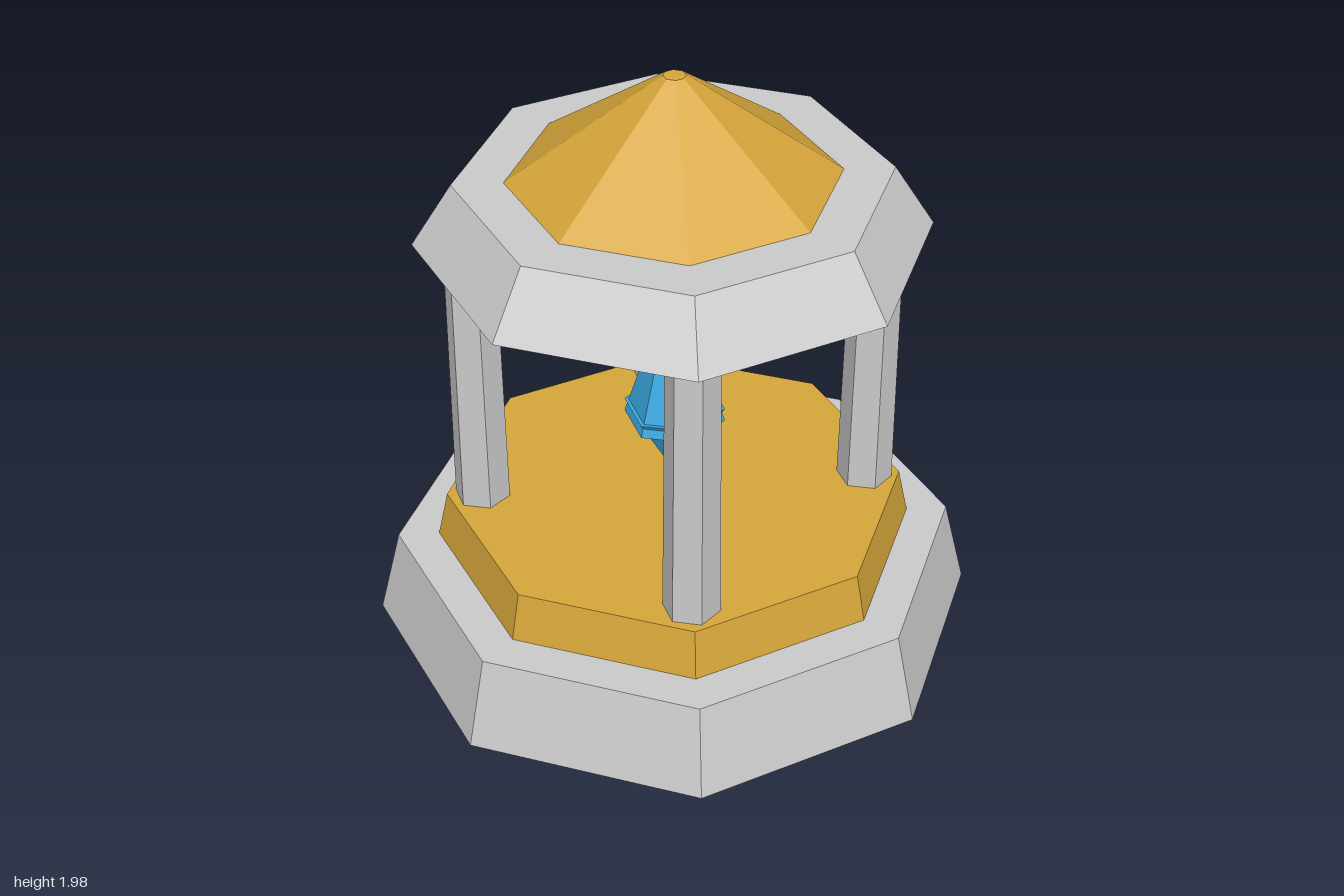
import * as THREE from 'three';

const material = (color) => new THREE.MeshStandardMaterial({ color, flatShading: true });

export function createModel() {
  const model = new THREE.Group();
  const stone = material(0xcccccc);
  const gold = material(0xd6a63a);
  const crystal = material(0x38a8e0);

  // Tapered prism between two heights
  function tier(name, mat, sides, y0, y1, r0, r1, turn = 0) {
    const geometry = new THREE.CylinderGeometry(r1, r0, y1 - y0, sides);
    geometry.rotateY(turn);
    const mesh = new THREE.Mesh(geometry, mat);
    mesh.position.y = (y0 + y1) / 2;
    mesh.name = name;
    model.add(mesh);
    return mesh;
  }

  // Stepped octagonal base
  tier('base', stone, 8, 0, 0.302, 1, 0.925);
  tier('deck', gold, 8, 0.302, 0.463, 0.79, 0.755);

  // Four hexagonal pillars
  for (const x of [-0.45, 0.45]) {
    for (const z of [-0.45, 0.45]) {
      const name = (z > 0 ? 'front' : 'back') + (x > 0 ? 'Left' : 'Right') + 'Pillar';
      const pillar = tier(name, stone, 6, 0.463, 1.43, 0.092, 0.083, Math.PI / 6);
      pillar.position.x = x;
      pillar.position.z = z;
    }
  }

  // Canopy slab and pointed roof
  tier('canopy', stone, 8, 1.43, 1.634, 0.81, 0.68);
  tier('roof', gold, 8, 1.634, 1.976, 0.52, 0.036);

  // Floating crystal: two overlapping spikes leave a notched belt
  tier('crystalTop', crystal, 6, 0.739, 1.227, 0.166, 0.017, Math.PI / 6);
  tier('crystalBottom', crystal, 6, 0.541, 0.785, 0.017, 0.166, Math.PI / 6);

  return model;
}
